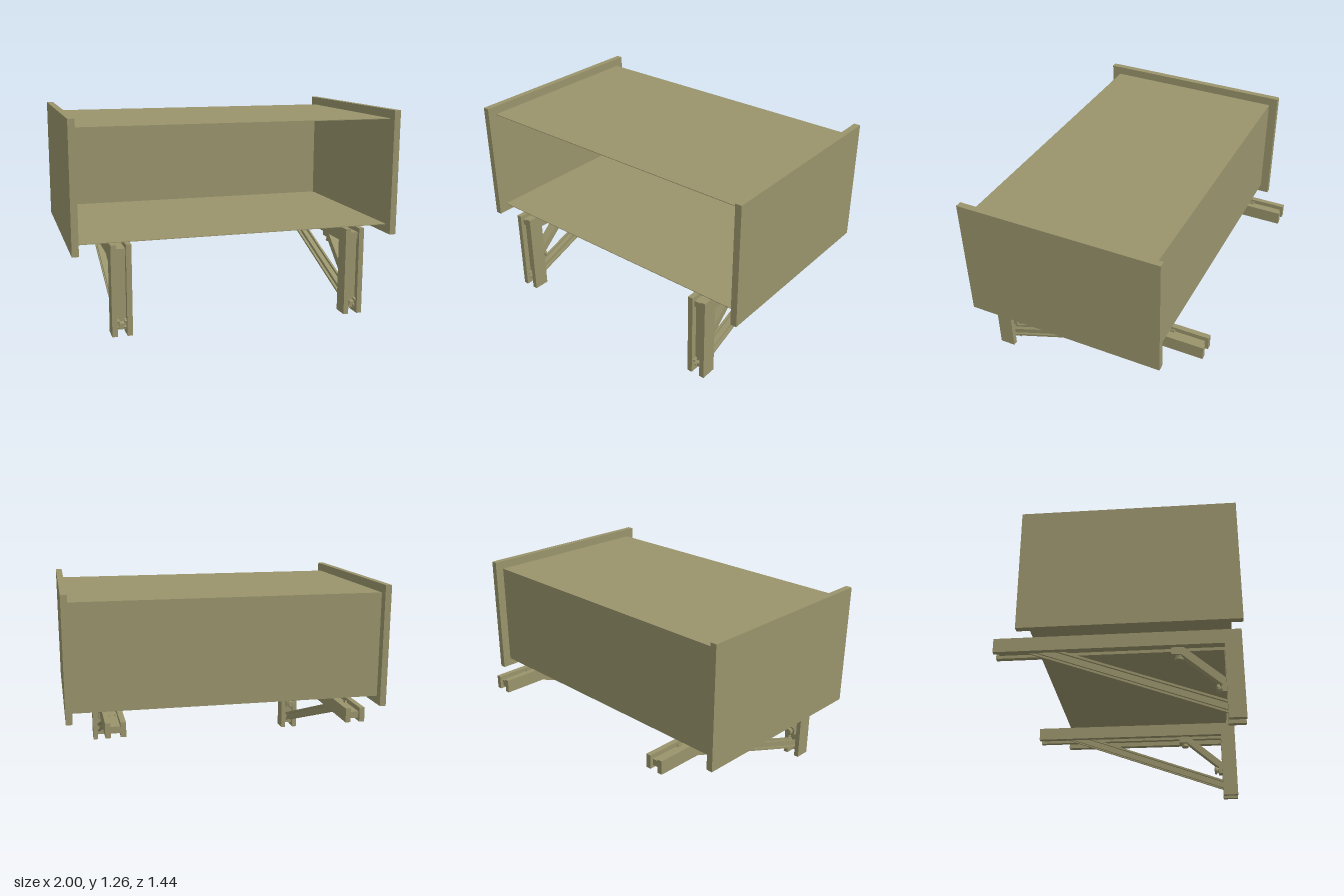
import * as THREE from 'three';

const mat = new THREE.MeshStandardMaterial({ color: 0x99946c, flatShading: true });

function add(parent, name, geo) {
  const mesh = new THREE.Mesh(geo, mat);
  mesh.name = name;
  parent.add(mesh);
  return mesh;
}

// Box given by its minimum and maximum on each axis
function box(parent, name, [x0, x1], [y0, y1], [z0, z1]) {
  const mesh = add(parent, name, new THREE.BoxGeometry(x1 - x0, y1 - y0, z1 - z0));
  mesh.position.set((x0 + x1) / 2, (y0 + y1) / 2, (z0 + z1) / 2);
  return mesh;
}

// Square bar with a groove along each of its four sides
function groovedShape(half, gap, depth) {
  const corner = [[half, gap], [half, half], [gap, half], [gap, half - depth], [-gap, half - depth]];
  const pts = [];
  for (let i = 0; i < 4; i++) {
    const a = i * Math.PI / 2, c = Math.cos(a), s = Math.sin(a);
    for (const [x, y] of corner) pts.push(new THREE.Vector2(x * c - y * s, x * s + y * c));
  }
  return new THREE.Shape(pts);
}

// Clamping screw: washer, neck and rounded head along +y from the origin
function knob(parent, name) {
  const profile = [[0, 0], [0.02, 0], [0.02, 0.006], [0.013, 0.007], [0.013, 0.012],
    [0.023, 0.012], [0.026, 0.016], [0.026, 0.026], [0.022, 0.031], [0, 0.031]];
  return add(parent, name, new THREE.LatheGeometry(profile.map(p => new THREE.Vector2(...p)), 16));
}

function createBracket() {
  const g = new THREE.Group();
  g.name = 'bracket';

  // Paired rails of the upright and the arm
  for (const s of [-1, 1]) {
    const x = s < 0 ? [-0.06, -0.028] : [0.028, 0.06];
    box(g, 'uprightRail', x, [0, 0.456], [0.62, 0.72]);
    box(g, 'armRail', x, [0.456, 0.543], [-0.72, 0.72]);
  }
  // Recessed webs between the rails
  box(g, 'uprightWeb', [-0.028, 0.028], [0.03, 0.475], [0.645, 0.685]);
  box(g, 'armWeb', [-0.028, 0.028], [0.475, 0.515], [-0.7, 0.7]);

  // Long grooved brace, passing through both webs
  const from = new THREE.Vector3(0, 0.061, 0.7), to = new THREE.Vector3(0, 0.504, -0.515);
  const brace = add(g, 'longBrace', new THREE.ExtrudeGeometry(groovedShape(0.028, 0.015, 0.016),
    { depth: from.distanceTo(to), bevelEnabled: false }));
  brace.position.copy(from);
  brace.lookAt(to);

  // Short corner stay with a flat foot at each end
  const outline = [[0.622, 0.17], [0.622, 0.25], [0.385, 0.457], [0.315, 0.457],
    [0.315, 0.412], [0.37, 0.412], [0.595, 0.215], [0.595, 0.17]];
  const stay = new THREE.ExtrudeGeometry(new THREE.Shape(outline.map(p => new THREE.Vector2(...p))),
    { depth: 0.06, bevelEnabled: false });
  stay.rotateY(-Math.PI / 2).translate(0.03, 0, 0);
  add(g, 'cornerStay', stay);

  const upper = knob(g, 'upperKnob');
  upper.position.set(0, 0.412, 0.357);
  upper.rotation.x = Math.PI;
  const lower = knob(g, 'lowerKnob');
  lower.position.set(0, 0.197, 0.595);
  lower.rotation.x = -Math.PI / 2;
  return g;
}

export function createModel() {
  const model = new THREE.Group();
  model.name = 'openBoxOnBrackets';

  // Thin-walled box, open at the front
  const t = 0.004, w = [-0.96, 0.96], z = [-0.487, 0.662];
  box(model, 'floor', w, [0.543, 0.543 + t], z);
  box(model, 'roof', w, [1.207 - t, 1.207], z);
  box(model, 'backPanel', w, [0.543, 1.207], [z[0], z[0] + t]);

  for (const s of [-1, 1]) {
    // Oversized end panels
    box(model, s > 0 ? 'leftEndPanel' : 'rightEndPanel',
      s > 0 ? [0.96, 1] : [-1, -0.96], [0.49, 1.26], [-0.542, 0.72]);
    // Supporting brackets
    const bracket = createBracket();
    bracket.name = s > 0 ? 'leftBracket' : 'rightBracket';
    bracket.position.x = s * 0.724;
    model.add(bracket);
  }
  return model;
}
